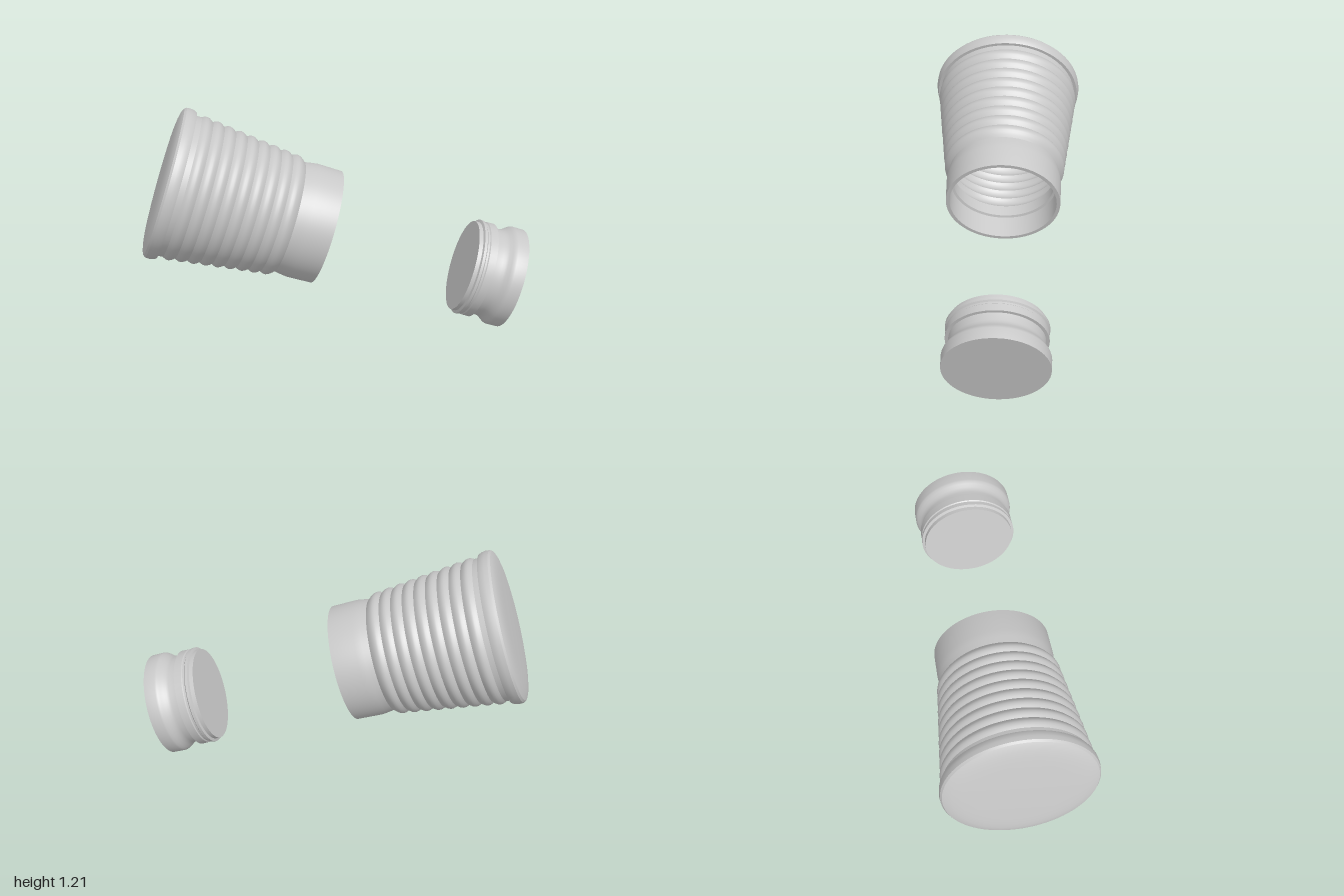
import * as THREE from 'three';
import { toCreasedNormals } from 'three/addons/utils/BufferGeometryUtils.js';

const TILT = THREE.MathUtils.degToRad(72);

// Turned part: profile in (radius, distance from the front face), laid over on its side
function turned(name, profile, material, x, y) {
  const points = profile.map(([r, t]) => new THREE.Vector2(r, t));
  const geometry = toCreasedNormals(new THREE.LatheGeometry(points, 80), 0.5);
  const mesh = new THREE.Mesh(geometry, material);
  mesh.name = name;
  mesh.position.set(x, y, 0);
  mesh.rotation.z = TILT;
  return mesh;
}

// Scalloped ribs along the tapering wall
function ribs(offset) {
  const count = 9, steps = 6, start = 0.21, end = 0.77;
  const out = [];
  for (let i = 0; i <= count * steps; i++) {
    const k = i / (count * steps);
    const bump = 0.014 * Math.sin(((i % steps) / steps) * Math.PI);
    out.push([0.302 + 0.066 * k + bump - offset, start + (end - start) * k]);
  }
  return out;
}

export function createModel() {
  const model = new THREE.Group();
  const grey = new THREE.MeshStandardMaterial({ color: 0xc8c8c8 });
  grey.name = 'light grey';

  // Hollow ribbed cup: inside from the floor to the mouth, then outside to the base
  const inside = [[0, 0.855], [0.34, 0.855], [0.35, 0.82], ...ribs(0.022).reverse(),
    [0.268, 0.2], [0.268, 0.135], [0.281, 0.13], [0.281, 0]];
  const outside = [[0.3, 0], [0.303, 0.13], [0.298, 0.165], [0.292, 0.2], ...ribs(0),
    [0.37, 0.8], [0.386, 0.8], [0.393, 0.815], [0.396, 0.835], [0.394, 0.855],
    [0.386, 0.866], [0.37, 0.873], [0.34, 0.88], [0.3, 0.885], [0.24, 0.888], [0, 0.89]];
  model.add(turned('cup', [...inside, ...outside], grey, -0.06, 0.575));

  // Solid stepped plug with a waist
  const plug = [[0, 0], [0.266, 0], [0.267, 0.06], [0.264, 0.07], [0.256, 0.082],
    [0.245, 0.097], [0.238, 0.11], [0.235, 0.125], [0.237, 0.165], [0.254, 0.165],
    [0.253, 0.205], [0.248, 0.21], [0.248, 0.22], [0.256, 0.226], [0.256, 0.24],
    [0.242, 0.245], [0.241, 0.266], [0, 0.266]];
  model.add(turned('plug', plug, grey, 0.917, 0.255));

  return model;
}
